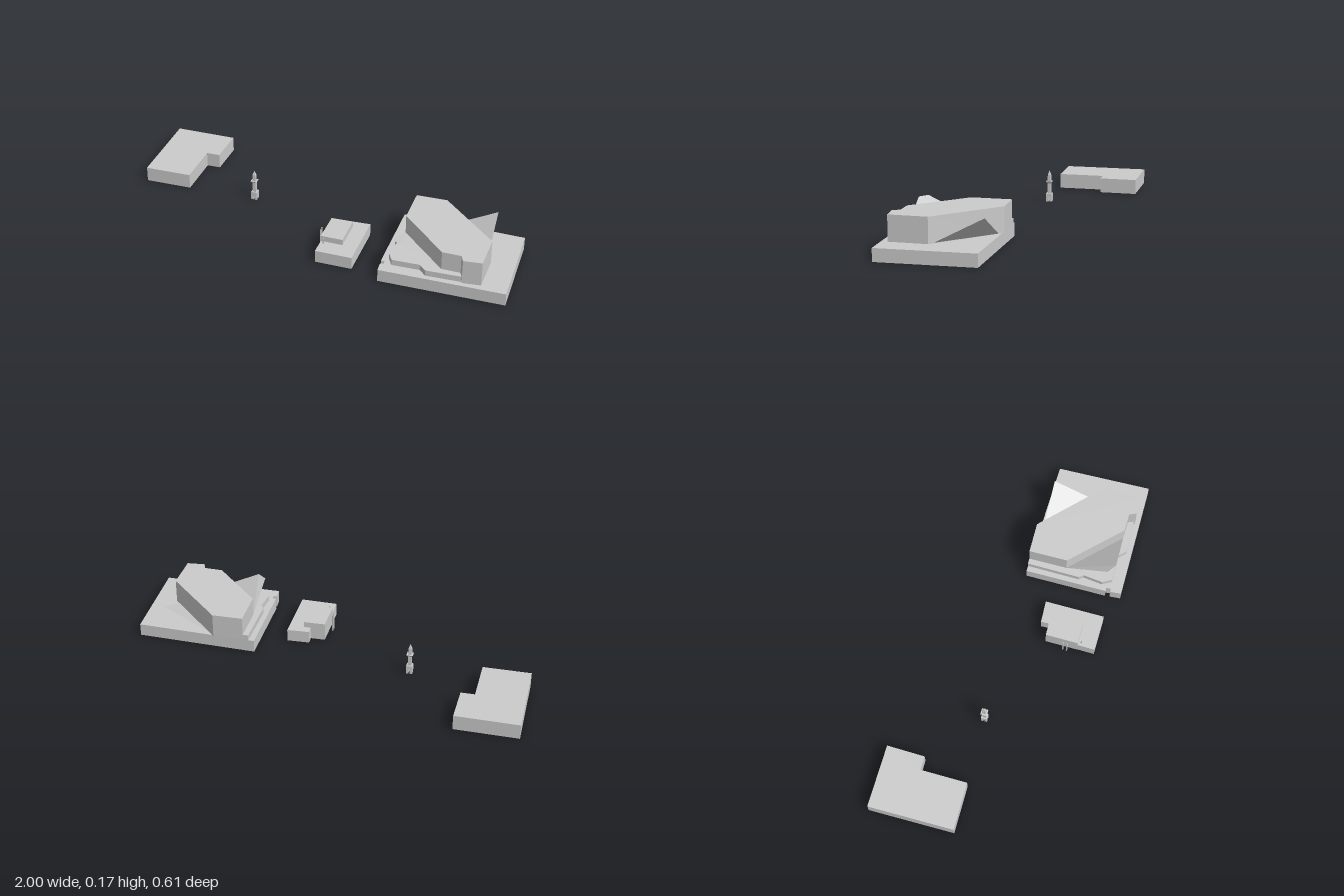
import * as THREE from 'three';

const material = new THREE.MeshStandardMaterial({ color: 0xcccccc, flatShading: true });
const sheetMaterial = new THREE.MeshStandardMaterial({ color: 0xcccccc, flatShading: true, side: THREE.DoubleSide });

// Vertical prism over a ground plan given as [x, z] corners
function prism(name, plan, bottom, top) {
  const shape = new THREE.Shape(plan.map(([x, z]) => new THREE.Vector2(x, -z)));
  const geometry = new THREE.ExtrudeGeometry(shape, { depth: top - bottom, bevelEnabled: false });
  geometry.rotateX(-Math.PI / 2).translate(0, bottom, 0);
  const mesh = new THREE.Mesh(geometry, material);
  mesh.name = name;
  return mesh;
}

// Thin flat sheet spanning a convex loop of corners
function sheet(name, corners) {
  const points = [];
  for (let i = 1; i < corners.length - 1; i++) points.push(...corners[0], ...corners[i], ...corners[i + 1]);
  const geometry = new THREE.BufferGeometry();
  geometry.setAttribute('position', new THREE.Float32BufferAttribute(points, 3));
  geometry.computeVertexNormals();
  const mesh = new THREE.Mesh(geometry, sheetMaterial);
  mesh.name = name;
  return mesh;
}

function box(name, w, h, d, x, y, z) {
  const mesh = new THREE.Mesh(new THREE.BoxGeometry(w, h, d), material);
  mesh.position.set(x, y, z);
  mesh.name = name;
  return mesh;
}

// Four-sided tapering section, half widths r0 (bottom) and r1 (top)
function squareTaper(name, r0, r1, bottom, top) {
  const k = Math.SQRT2;
  const geometry = new THREE.CylinderGeometry(r1 * k, r0 * k, top - bottom, 4);
  geometry.rotateY(Math.PI / 4).translate(0, (top + bottom) / 2, 0);
  const mesh = new THREE.Mesh(geometry, material);
  mesh.name = name;
  return mesh;
}

function createMonument() {
  const monument = new THREE.Group();
  monument.name = 'monument';
  // Four piers carrying the plinth
  for (const sx of [-1, 1]) for (const sz of [-1, 1]) {
    monument.add(box('pier', 0.011, 0.022, 0.011, sx * 0.0085, 0.011, sz * 0.0085));
  }
  monument.add(
    squareTaper('plinth', 0.014, 0.014, 0.022, 0.04),
    squareTaper('shaft', 0.008, 0.008, 0.04, 0.092),
    squareTaper('collar', 0.008, 0.015, 0.088, 0.098),
    squareTaper('upperShaft', 0.008, 0.007, 0.098, 0.13),
    squareTaper('tip', 0.007, 0.0005, 0.13, 0.15)
  );
  monument.position.set(-0.37, 0, 0.035);
  monument.rotation.y = 0.27;
  return monument;
}

function createSmallBuilding() {
  const building = new THREE.Group();
  building.name = 'smallBuilding';
  building.add(
    prism('lowWing', [[0.147, 0.02], [0.245, -0.013], [0.32, 0.255], [0.157, 0.3], [0.135, 0.218], [0.19, 0.2], [0.16, 0.06]], 0, 0.058),
    prism('tallWing', [[0.095, 0.077], [0.19, 0.047], [0.232, 0.195], [0.135, 0.222]], 0, 0.085)
  );
  // Slender posts beside the tall wing
  for (const [x, z] of [[0.102, 0.165], [0.107, 0.183], [0.155, 0.232]]) {
    building.add(box('post', 0.005, 0.085, 0.005, x, 0.0425, z));
  }
  return building;
}

function createMainBuilding() {
  const building = new THREE.Group();
  building.name = 'mainBuilding';
  building.add(
    prism('base', [[0.33, -0.17], [0.87, -0.31], [1, 0.108], [0.46, 0.265], [0.443, 0.218], [0.458, 0.212], [0.45, 0.192], [0.435, 0.198]], 0, 0.058),
    prism('terrace', [[0.355, -0.178], [0.5, -0.217], [0.8, -0.05], [0.84, 0.125], [0.65, 0.185], [0.61, 0.163], [0.49, 0.2], [0.455, 0.165], [0.44, 0.075], [0.42, 0.06]], 0.058, 0.085),
    prism('tower', [[0.38, -0.185], [0.515, -0.226], [0.837, -0.055], [0.882, 0.112], [0.805, 0.143], [0.782, 0.115], [0.7, 0.137], [0.43, -0.013]], 0.058, 0.172),
    // Leaning canopies that flare out from the tower walls
    sheet('frontCanopy', [[0.43, 0.085, -0.013], [0.478, 0.172, 0.175], [0.526, 0.172, 0.193], [0.7, 0.085, 0.137]]),
    sheet('rearCanopy', [[0.54, 0.058, -0.212], [0.815, 0.058, -0.063], [0.75, 0.172, -0.27]])
  );
  return building;
}

export function createModel() {
  const model = new THREE.Group();
  model.name = 'buildingCluster';
  model.add(
    prism('notchedBlock', [[-1, -0.18], [-0.722, -0.258], [-0.677, -0.088], [-0.738, -0.07], [-0.68, 0.138], [-0.89, 0.2]], 0, 0.07),
    createMonument(),
    createSmallBuilding(),
    createMainBuilding()
  );
  return model;
}
